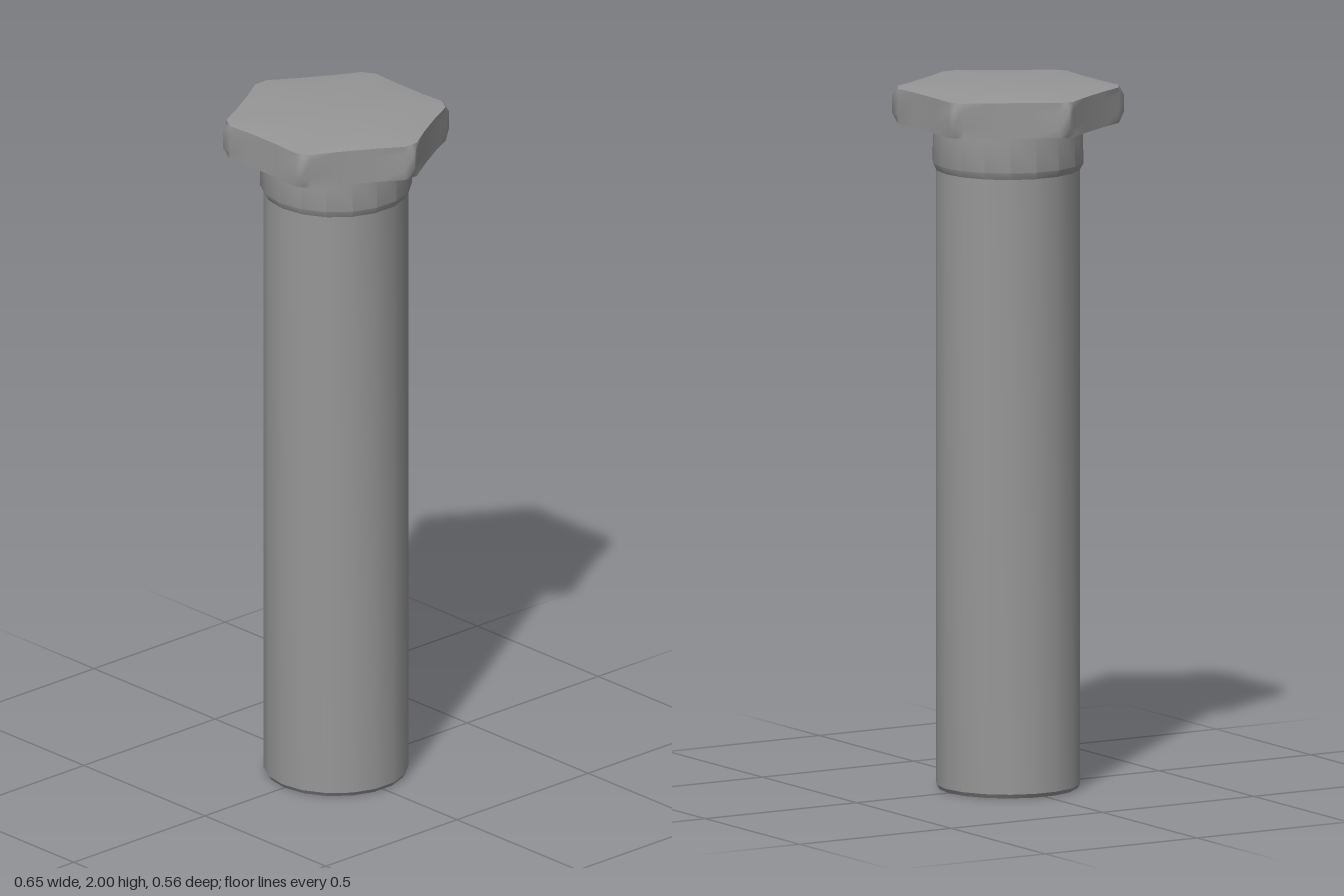
import * as THREE from 'three';
import { toCreasedNormals } from 'three/addons/utils/BufferGeometryUtils.js';

const CORNER = 0.325; // corner radius of the hexagonal head
const TRIM = 0.31;    // corner radius after the top and bottom chamfer

// Hexagon outline with slightly hollow sides; corner tips pulled in to `tip`
function hexRing(tip, y) {
  const ring = [];
  const polar = (r, a) => new THREE.Vector3(r * Math.cos(a), y, r * Math.sin(a));
  for (let k = 0; k < 6; k++) {
    const a = k * Math.PI / 3;
    const corner = polar(CORNER, a), next = polar(CORNER, a + Math.PI / 3);
    const inward = polar(0.006, a + Math.PI / 6).setY(0);
    const p1 = corner.clone().lerp(next, 1 / 3).sub(inward);
    const p2 = corner.clone().lerp(next, 2 / 3).sub(inward);
    ring.push(polar(tip, a), corner.clone().lerp(p1, 0.25), p1, p2, next.clone().lerp(p2, 0.25));
  }
  return ring;
}

// Same number of points, placed on a circle; radius 0 gives a centre point
function roundRing(r, y) {
  return hexRing(TRIM, y).map((p) => {
    const a = Math.atan2(p.z, p.x);
    return new THREE.Vector3(r * Math.cos(a), y, r * Math.sin(a));
  });
}

// Skin a stack of rings, smoothing edges below the crease angle
function skin(rings, crease) {
  const pos = [], n = rings[0].length;
  const tri = (p, q, r) => {
    if (p.equals(q) || q.equals(r) || r.equals(p)) return;
    for (const v of [p, q, r]) pos.push(v.x, v.y, v.z);
  };
  for (let k = 0; k < rings.length - 1; k++) {
    const a = rings[k], b = rings[k + 1];
    for (let i = 0; i < n; i++) {
      const j = (i + 1) % n;
      tri(a[i], b[i], a[j]);
      tri(a[j], b[i], b[j]);
    }
  }
  const geo = new THREE.BufferGeometry();
  geo.setAttribute('position', new THREE.Float32BufferAttribute(pos, 3));
  return toCreasedNormals(geo, crease);
}

function lathe(profile) {
  const geo = new THREE.LatheGeometry(profile.map(([r, y]) => new THREE.Vector2(r, y)), 18);
  return toCreasedNormals(geo, 0.5);
}

export function createModel() {
  const group = new THREE.Group();
  const material = new THREE.MeshStandardMaterial({ color: 0x979797 });
  const add = (name, geo) => {
    const mesh = new THREE.Mesh(geo, material);
    mesh.name = name;
    group.add(mesh);
  };

  // Long shaft with a small bevel at the foot
  add('shaft', lathe([[0, 0], [0.196, 0], [0.204, 0.012], [0.204, 1.765]]));

  // Slightly wider collar below the head
  add('collar', lathe([[0.204, 1.76], [0.214, 1.78], [0.211, 1.89]]));

  // Hexagonal head: flat underside, softly rounded corners, faintly crowned top
  add('headUnderside', skin([roundRing(0, 1.89), hexRing(TRIM, 1.89)], 0.5));
  add('headSides', skin([
    hexRing(TRIM, 1.89),
    hexRing(CORNER, 1.918),
    hexRing(CORNER, 1.968),
    hexRing(TRIM, 1.991),
  ], 1.3));
  add('headTop', skin([hexRing(TRIM, 1.991), roundRing(0.21, 2), roundRing(0, 2)], 0.5));

  return group;
}
